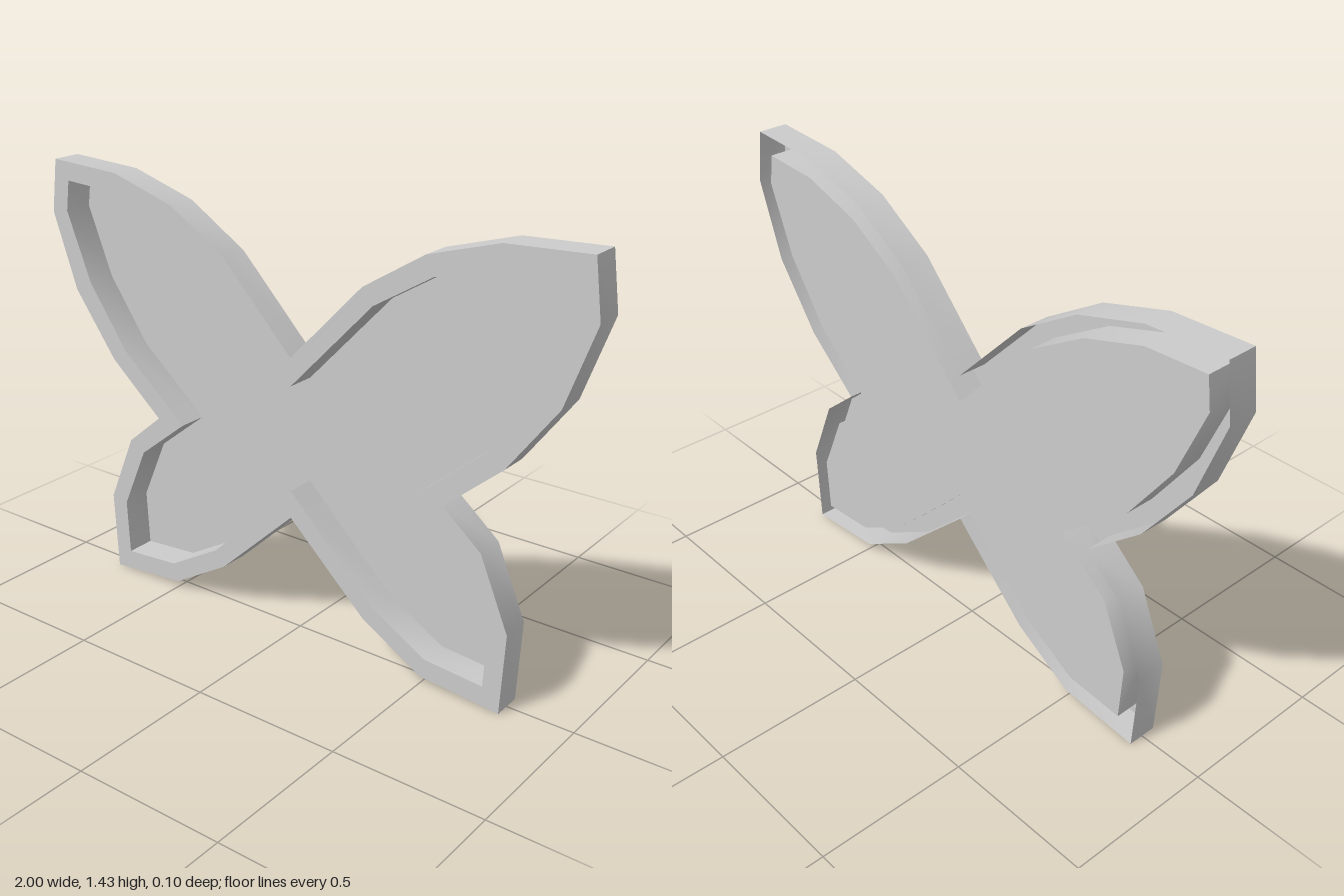
import * as THREE from 'three';
import { toCreasedNormals } from 'three/addons/utils/BufferGeometryUtils.js';

const HALF_DEPTH = 0.05;

// Half outlines (x >= 0), from the top notch clockwise to the bottom notch
const OUTER = [
  [0, 0.95], [0.26, 1.22], [0.47, 1.35], [0.706, 1.42], [0.975, 1.433],
  [1, 1.255], [0.91, 1.0], [0.75, 0.783], [0.556, 0.617], [0.69, 0.505],
  [0.79, 0.27], [0.777, 0], [0.497, 0.024], [0.283, 0.15], [0, 0.415],
];
const INNER = [
  [0, 0.858], [0.298, 1.17], [0.497, 1.29], [0.71, 1.357], [0.92, 1.368],
  [0.935, 1.265], [0.843, 1.035], [0.695, 0.824], [0.45, 0.617], [0.633, 0.473],
  [0.727, 0.26], [0.718, 0.072], [0.513, 0.088], [0.318, 0.2], [0, 0.508],
];

// Mirror a half outline into the full closed butterfly
function mirrored(half) {
  const left = half.slice(1, -1).reverse().map(([x, y]) => [-x, y]);
  return [...half, ...left].map(([x, y]) => new THREE.Vector2(x, y));
}

// Upright band following a closed outline, from front to back
function wallGeometry(points) {
  const pos = [];
  const f = HALF_DEPTH, k = -HALF_DEPTH;
  points.forEach((a, i) => {
    const b = points[(i + 1) % points.length];
    pos.push(a.x, a.y, f, b.x, b.y, f, b.x, b.y, k);
    pos.push(a.x, a.y, f, b.x, b.y, k, a.x, a.y, k);
  });
  const geometry = new THREE.BufferGeometry();
  geometry.setAttribute('position', new THREE.Float32BufferAttribute(pos, 3));
  return toCreasedNormals(geometry, THREE.MathUtils.degToRad(32));
}

export function createModel() {
  const group = new THREE.Group();
  group.name = 'butterflyTray';
  const material = new THREE.MeshStandardMaterial({ color: 0xcccccc, side: THREE.DoubleSide });
  const add = (name, geometry, z = 0) => {
    const mesh = new THREE.Mesh(geometry, material);
    mesh.name = name;
    mesh.position.z = z;
    group.add(mesh);
  };

  const outer = mirrored(OUTER);
  const inner = mirrored(INNER);

  // Flat front rim between the two outlines
  const rim = new THREE.Shape(outer);
  rim.holes.push(new THREE.Path(inner));
  add('frontRim', new THREE.ShapeGeometry(rim), HALF_DEPTH);

  // Outer skirt and the inner wall of the recess; the gap between is open at the back
  add('outerWall', wallGeometry(outer));
  add('innerWall', wallGeometry([...inner].reverse()));

  // Floor of the recess
  add('floorPanel', new THREE.ShapeGeometry(new THREE.Shape(inner)), -HALF_DEPTH);

  return group;
}
